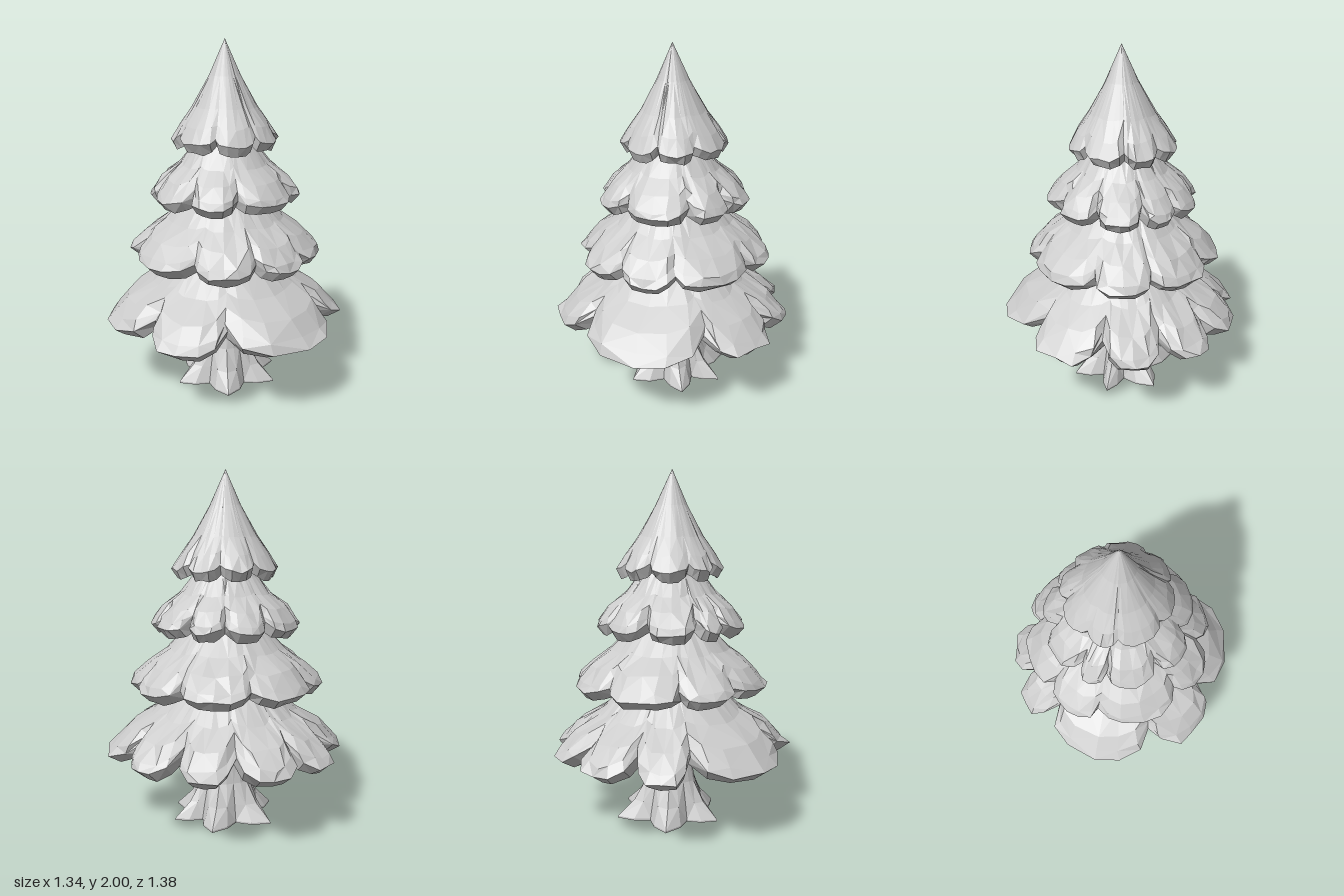
import * as THREE from 'three';

const rad = THREE.MathUtils.degToRad;

// small seeded generator for hand-carved irregularity
function makeRandom(seed) {
  let s = seed;
  return () => {
    s = (s * 16807) % 2147483647;
    return s / 2147483647 - 0.5;
  };
}

// Outline samples { angle, r, w } for lobes beginning at the given degrees, from +x towards +z.
// r is 1 at the middle of a lobe and falls to notch between lobes, where w is 0.
function lobedOutline(starts, notch, steps, power) {
  return starts.flatMap((start, i) => {
    const end = starts[i + 1] ?? starts[0] + 360;
    return steps.map((t) => {
      const w = 1 - Math.pow(Math.abs(2 * t - 1), power);
      return { angle: rad(start + (end - start) * t), r: notch + (1 - notch) * w, w };
    });
  });
}

// Skin rows [y, radius, lobeDepth] from top to bottom around an outline.
function loft(name, outline, rows, material, { lift = 0, jitter = 0, lean = 0, seed = 1 } = {}) {
  const random = makeRandom(seed * 7919);
  const rings = rows.map(([y, radius, depth]) => outline.map(({ angle, r, w }) => {
    const tilt = 1 + lean * Math.cos(angle + Math.PI / 4);
    const rr = radius * (1 - depth * (1 - r)) * tilt * (1 + random() * jitter);
    const yy = y + depth * (lift * (1 - w) + random() * jitter * 0.4);
    const a = angle + random() * jitter;
    return new THREE.Vector3(Math.cos(a) * rr, yy, Math.sin(a) * rr);
  }));
  const points = [];
  for (let j = 0; j + 1 < rings.length; j++) {
    for (let i = 0; i < outline.length; i++) {
      const k = (i + 1) % outline.length;
      const a = rings[j][i], b = rings[j][k], c = rings[j + 1][i], d = rings[j + 1][k];
      const tris = (i + j) % 2 ? [[a, b, c], [b, d, c]] : [[a, b, d], [a, d, c]];
      for (const t of tris) {
        if (new THREE.Triangle(...t).getArea() > 1e-9) points.push(...t);
      }
    }
  }
  const geometry = new THREE.BufferGeometry().setFromPoints(points);
  geometry.computeVertexNormals();
  const mesh = new THREE.Mesh(geometry, material);
  mesh.name = name;
  return mesh;
}

// Upper surfaces as [height fraction, radius fraction, lobeDepth], ending at the rim
const SKIRT = [[1, 0.29, 0], [0.73, 0.43, 0.15], [0.47, 0.61, 0.4], [0.28, 0.82, 0.8], [0.1, 0.95, 1], [0, 1, 1]];
const CROWN = [[1, 0, 0], [0.64, 0.29, 0], [0.33, 0.6, 0.25], [0.15, 0.83, 0.7], [0, 1, 1]];

// Foliage skirt: upper surface, thick lip and hollow underside
function makeSkirt({ name, profile = SKIRT, rimY, height, radius, notch, lift, lean, starts }, seed, material) {
  const rows = profile.map(([h, r, depth]) => [rimY + h * height, r * radius, depth]);
  rows.push(
    [rimY - 0.05, radius * 0.9, 1],
    [rimY, radius * 0.65, 0.65],
    [rimY + 0.05, radius * 0.2, 0],
    [rimY + 0.05, 0, 0],
  );
  const outline = lobedOutline(starts, notch, [0, 0.12, 0.3, 0.5, 0.72, 0.89], 3.5);
  return loft(name, outline, rows, material, { lift, lean, jitter: 0.045, seed });
}

const SKIRTS = [
  { name: 'bottomBranches', rimY: 0.415, height: 0.46, radius: 0.69, notch: 0.77, lift: 0.09, lean: 0,
    starts: [8, 52, 128, 174, 240, 270, 304, 335] },
  { name: 'lowerMiddleBranches', rimY: 0.8, height: 0.42, radius: 0.555, notch: 0.86, lift: 0.045, lean: 0.03,
    starts: [15, 70, 108, 150, 208, 245, 293, 338] },
  { name: 'upperMiddleBranches', rimY: 1.135, height: 0.38, radius: 0.43, notch: 0.81, lift: 0.045, lean: 0.03,
    starts: [20, 58, 118, 160, 205, 228, 273, 310, 340] },
  { name: 'topBranches', profile: CROWN, rimY: 1.45, height: 0.55, radius: 0.305, notch: 0.86, lift: 0.04, lean: 0.05,
    starts: [45, 90, 140, 195, 230, 275, 315, 355] },
];

export function createModel() {
  const group = new THREE.Group();
  group.name = 'pineTree';
  const material = new THREE.MeshStandardMaterial({ color: 0xcccccc, flatShading: true });

  SKIRTS.forEach((skirt, i) => group.add(makeSkirt(skirt, i + 3, material)));

  // trunk flaring into six pointed roots
  const roots = lobedOutline([33, 89, 161, 222, 291, 353], 0.58, [0, 0.25, 0.5, 0.75], 1);
  const trunkRows = [[0.6, 0.11, 0], [0.36, 0.12, 0.05], [0.22, 0.15, 0.2], [0.1, 0.22, 0.6],
    [0.01, 0.315, 1], [0, 0.315, 1], [0, 0, 0]];
  group.add(loft('trunk', roots, trunkRows, material, { lean: 0.06 }));
  return group;
}
